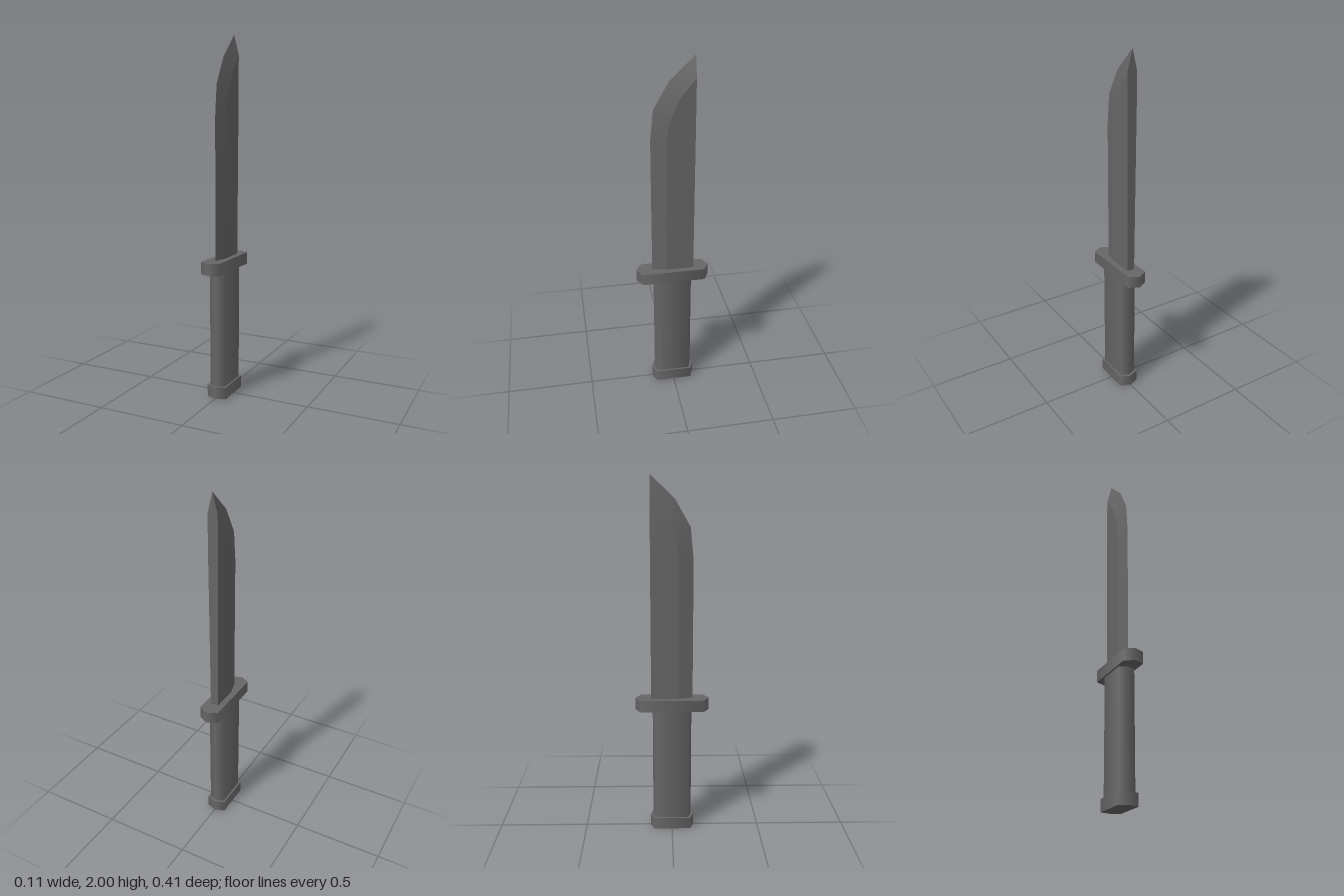
import * as THREE from 'three';
import { toCreasedNormals } from 'three/addons/utils/BufferGeometryUtils.js';

const darkGrey = new THREE.MeshStandardMaterial({ color: 0x666666 });

// Long hexagonal prism with softly shaded sides, pointed toward +z and -z
function hexPrism(name, halfWidth, flatZ, tipZ, y0, y1) {
  const geo = new THREE.CylinderGeometry(1, 1, y1 - y0, 6);
  const p = geo.attributes.position;
  for (let i = 0; i < p.count; i++) {
    const x = p.getX(i), z = p.getZ(i);
    if (Math.hypot(x, z) < 0.5) continue; // cap centres
    const isTip = Math.abs(x) < 0.1;
    p.setX(i, isTip ? 0 : Math.sign(x) * halfWidth);
    p.setZ(i, Math.sign(z) * (isTip ? tipZ : flatZ));
  }
  const mesh = new THREE.Mesh(geo, darkGrey);
  mesh.name = name;
  mesh.position.y = (y0 + y1) / 2;
  return mesh;
}

// Single-edged blade: five-sided sections from the guard up to the point
function makeBlade() {
  const spineZ = -0.117;
  // edge y, edge z, shoulder y, shoulder z, half thickness
  const sections = [
    [0.77, 0.115, 0.77, 0.035, 0.022],
    [1.56, 0.115, 1.56, 0.035, 0.027],
    [1.73, 0.098, 1.66, 0.022, 0.028],
    [1.875, 0.015, 1.79, -0.035, 0.028],
    [2.0, spineZ, 1.89, spineZ, 0.028],
  ];
  const positions = [], index = [];
  for (const [ey, ez, sy, sz, w] of sections) {
    positions.push(0, ey, ez, w, sy, sz, w, sy, spineZ, -w, sy, spineZ, -w, sy, sz);
  }
  for (let s = 0; s < sections.length - 1; s++) {
    for (let k = 0; k < 5; k++) {
      const a = s * 5 + k, b = s * 5 + (k + 1) % 5;
      // The last section has no flat side left, only a single triangle
      index.push(a, b, b + 5);
      if (s < sections.length - 2 || (k !== 1 && k !== 3)) index.push(a, b + 5, a + 5);
    }
  }
  // Bottom cap and the triangle closing the spine at the point
  index.push(0, 2, 1, 0, 3, 2, 0, 4, 3);
  const t = (sections.length - 1) * 5;
  index.push(t, t + 2, t + 3);
  const geo = new THREE.BufferGeometry();
  geo.setAttribute('position', new THREE.Float32BufferAttribute(positions, 3));
  geo.setIndex(index);
  const mesh = new THREE.Mesh(toCreasedNormals(geo, 0.25), darkGrey);
  mesh.name = 'blade';
  return mesh;
}

export function createModel() {
  const group = new THREE.Group();
  group.name = 'knife';
  group.add(
    hexPrism('pommel', 0.056, 0.104, 0.125, 0, 0.067),
    hexPrism('handle', 0.045, 0.092, 0.109, 0.06, 0.725),
    hexPrism('guard', 0.056, 0.176, 0.206, 0.718, 0.785),
    makeBlade(),
  );
  return group;
}
